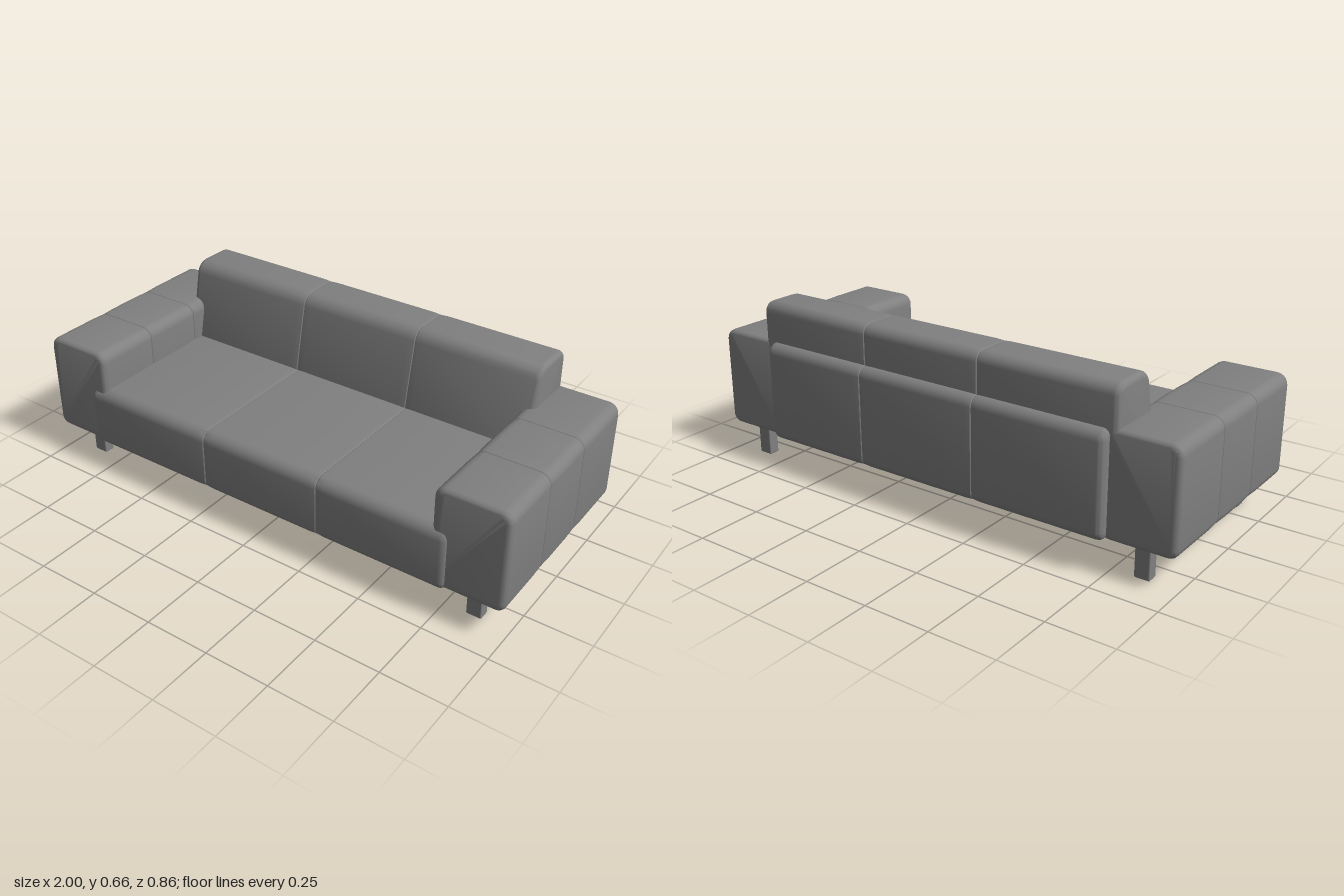
import * as THREE from 'three';
import { toCreasedNormals } from 'three/addons/utils/BufferGeometryUtils.js';
import { RoundedBoxGeometry } from 'three/addons/geometries/RoundedBoxGeometry.js';

const material = new THREE.MeshStandardMaterial({ color: 0x808080 });
const ARC = 5;

// Rounded outline from counter-clockwise corners [u, v, radius]; keeps outward normals for insetting.
function roundedOutline(corners) {
  const out = [];
  const n = corners.length;
  corners.forEach(([u, v, r], i) => {
    const [pu, pv] = corners[(i + n - 1) % n];
    const [nu, nv] = corners[(i + 1) % n];
    const d0 = new THREE.Vector2(u - pu, v - pv).normalize();
    const d1 = new THREE.Vector2(nu - u, nv - v).normalize();
    const a0 = Math.atan2(-d0.x, d0.y);
    const turn = Math.atan2(d0.cross(d1), d0.dot(d1));
    const back = r * Math.tan(turn / 2);
    const cx = u - d0.x * back - Math.cos(a0) * r;
    const cy = v - d0.y * back - Math.sin(a0) * r;
    for (let k = 0; k <= ARC; k++) {
      const a = a0 + (turn * k) / ARC;
      out.push({ cx, cy, nx: Math.cos(a), ny: Math.sin(a), r });
    }
  });
  return out;
}

// Upholstered block: outline lofted along an axis with rounded ends and pinched seams.
function cushion(name, corners, from, to, endRadius, seams, spread, alongX) {
  const outline = roundedOutline(corners);
  const stations = [];
  for (let k = 0; k <= ARC; k++) {
    const a = (k / ARC) * Math.PI / 2;
    const w = endRadius * (1 - Math.cos(a));
    const inset = endRadius * (1 - Math.sin(a));
    stations.push([from + w, inset], [to - w, inset]);
  }
  for (const s of seams) {
    stations.push([s, 0.005]);
    for (const side of [-1, 1]) {
      stations.push([s + side * 0.003, 0.002], [s + side * spread, 0]);
    }
  }
  stations.sort((a, b) => a[0] - b[0]);

  const n = outline.length;
  const positions = [];
  const index = [];
  stations.forEach(([w, inset], j) => {
    for (const q of outline) {
      positions.push(q.cx + q.nx * (q.r - inset), q.cy + q.ny * (q.r - inset), w);
    }
    if (j === 0) return;
    for (let i = 0; i < n; i++) {
      const a = (j - 1) * n + i, b = (j - 1) * n + (i + 1) % n;
      index.push(a, b, b + n, a, b + n, a + n);
    }
  });
  // Flat end caps
  const last = (stations.length - 1) * n;
  for (let i = 1; i < n - 1; i++) {
    index.push(0, i + 1, i, last, last + i, last + i + 1);
  }
  const geometry = new THREE.BufferGeometry();
  geometry.setAttribute('position', new THREE.Float32BufferAttribute(positions, 3));
  geometry.setIndex(index);
  if (alongX) geometry.rotateY(Math.PI / 2);
  const mesh = new THREE.Mesh(toCreasedNormals(geometry, Math.PI / 5), material);
  mesh.name = name;
  return mesh;
}

// Outlines for parts that run along x use u = -z.
export function createModel() {
  const group = new THREE.Group();
  group.name = 'sofa';
  const seams = [-0.23, 0.27];

  // Seat, reaching slightly in front of the arms
  group.add(cushion('seat', [
    [-0.43, 0.115, 0.03], [0.24, 0.115, 0.03], [0.24, 0.36, 0.03], [-0.43, 0.36, 0.045],
  ], -0.795, 0.787, 0.028, seams, 0.03, true));

  // Backrest cushion with a sloping front
  group.add(cushion('backrest', [
    [0.13, 0.3, 0.03], [0.395, 0.3, 0.03], [0.395, 0.66, 0.04], [0.203, 0.66, 0.055],
  ], -0.777, 0.773, 0.022, seams, 0.03, true));

  // Rear panel behind the backrest
  group.add(cushion('rearPanel', [
    [0.2, 0.12, 0.03], [0.43, 0.12, 0.035], [0.43, 0.51, 0.04], [0.2, 0.51, 0.03],
  ], -0.748, 0.735, 0.025, seams, 0.03, true));

  for (const side of [-1, 1]) {
    const label = side > 0 ? 'left' : 'right';
    const x0 = side * 0.86 - 0.14, x1 = side * 0.86 + 0.14;
    // Arm
    group.add(cushion(label + 'Arm', [
      [x0, 0.12, 0.035], [x1, 0.12, 0.035], [x1, 0.512, 0.042], [x0, 0.512, 0.042],
    ], -0.395, 0.418, 0.022, [-0.1, 0.15], 0.06, false));

    // Legs
    for (const [end, z] of [['Front', 0.328], ['Back', -0.335]]) {
      const leg = new THREE.Mesh(new RoundedBoxGeometry(0.058, 0.15, 0.044, 2, 0.005), material);
      leg.position.set(side * 0.863, 0.075, z);
      leg.name = label + end + 'Leg';
      group.add(leg);
    }
  }
  return group;
}
